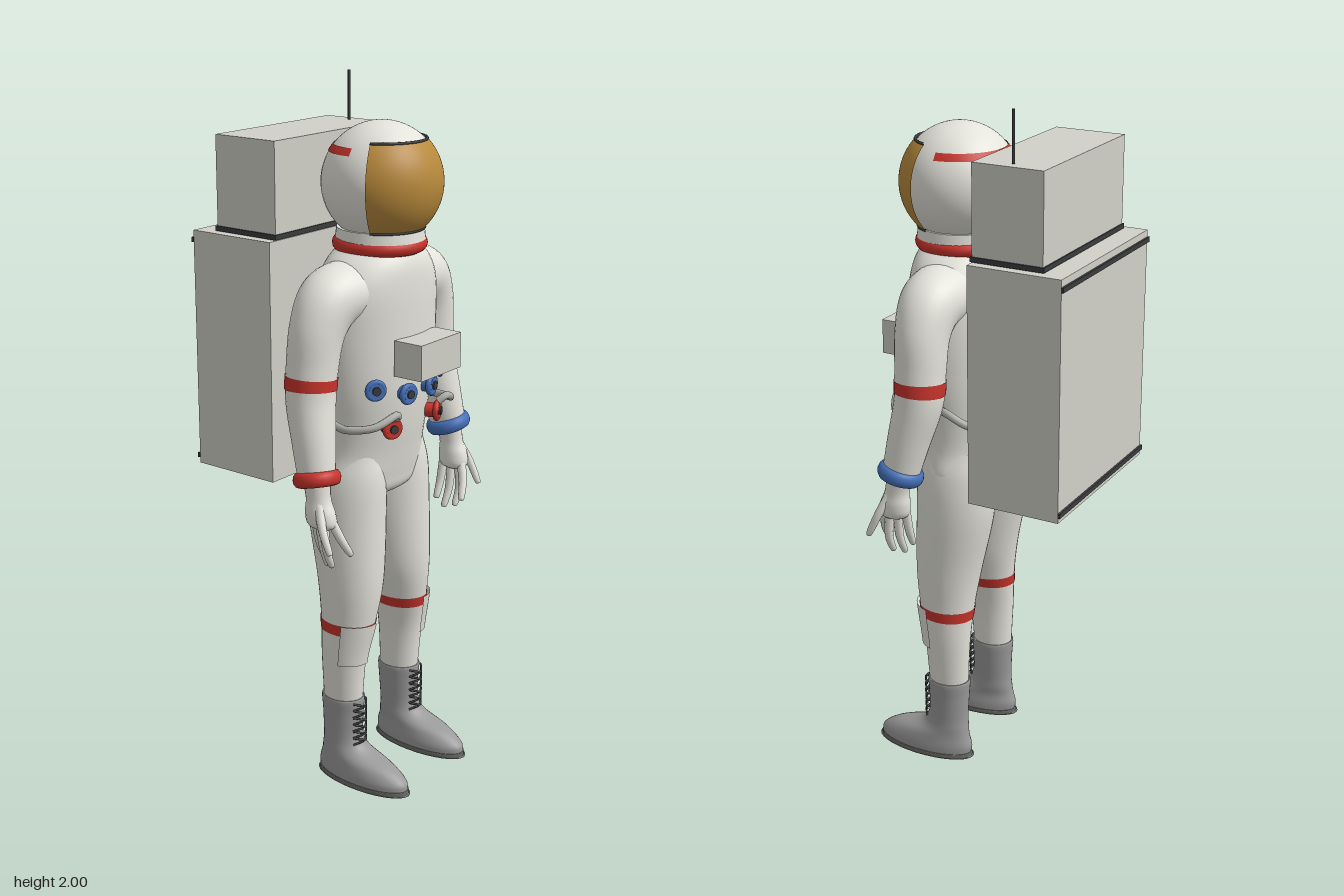
import * as THREE from 'three';

const mat = (name, color, side = THREE.FrontSide) =>
  Object.assign(new THREE.MeshStandardMaterial({ color, side }), { name });
const V = (x, y, z) => new THREE.Vector3(x, y, z);

// Skin through elliptical sections [x, y, z, rx, rz] listed from top to bottom.
// u0..u1 and a0..a1 pick a patch of the skin, grow lifts it off the surface,
// follow turns the sections square to the path instead of keeping them level.
function loft(sections, { u0 = 0, u1 = 1, a0 = 0, a1 = Math.PI * 2, grow = 0, follow = false, rows = 40, cols = 32 } = {}) {
  const path = new THREE.CatmullRomCurve3(sections.map(p => V(p[0], p[1], p[2])), false, 'catmullrom');
  const radii = new THREE.CatmullRomCurve3(sections.map(p => V(p[3], p[4], 0)), false, 'catmullrom');
  const closed = a1 - a0 > 6.28, stride = closed ? cols : cols + 1;
  const pos = [], index = [];
  for (let i = 0; i <= rows; i++) {
    const u = u0 + (u1 - u0) * i / rows;
    const c = path.getPoint(u), r = radii.getPoint(u);
    const t = follow ? path.getTangent(u) : V(0, -1, 0);
    const side = V(0, 0, 1).cross(t).normalize(), depth = t.clone().cross(side);
    for (let j = 0; j < stride; j++) {
      const a = a0 + (a1 - a0) * j / cols;
      const p = c.clone()
        .addScaledVector(side, (Math.max(r.x, 0) + grow) * Math.sin(a))
        .addScaledVector(depth, (Math.max(r.y, 0) + grow) * Math.cos(a));
      pos.push(p.x, p.y, p.z);
    }
  }
  for (let i = 0; i < rows; i++) for (let j = 0; j < cols; j++) {
    const a = i * stride + j, b = i * stride + (j + 1) % stride;
    index.push(a, a + stride, b + stride, a, b + stride, b);
  }
  const g = new THREE.BufferGeometry();
  g.setAttribute('position', new THREE.Float32BufferAttribute(pos, 3));
  g.setIndex(index);
  g.computeVertexNormals();
  return g;
}

export function createModel() {
  const root = new THREE.Group();
  root.name = 'astronaut';
  const white = mat('suitWhite', 0xe4e3db, THREE.DoubleSide);
  const packGrey = mat('packGrey', 0xd2d1c8);
  const red = mat('red', 0xc8342c, THREE.DoubleSide);
  const blue = mat('blue', 0x4470b8);
  const gold = mat('visorGold', 0xb98a3c, THREE.DoubleSide);
  const bootGrey = mat('bootGrey', 0x9a9a9a);
  const soleGrey = mat('soleGrey', 0x6c6c6a);
  const dark = mat('dark', 0x3a3c3d);
  const hoseGrey = mat('hoseGrey', 0xb0b0ac);

  const add = (name, geo, material, x = 0, y = 0, z = 0) => {
    const m = new THREE.Mesh(geo, material);
    m.name = name;
    m.position.set(x, y, z);
    root.add(m);
    return m;
  };
  const box = (name, w, h, d, material, x, y, z) => add(name, new THREE.BoxGeometry(w, h, d), material, x, y, z);
  const tube = (name, pts, r, material, seg = 24) =>
    add(name, new THREE.TubeGeometry(new THREE.CatmullRomCurve3(pts), seg, r, 10), material);
  const aim = (m, from, dir) => m.quaternion.setFromUnitVectors(from, dir.clone().normalize());

  // Torso
  add('torso', loft([
    [0, 1.58, .115, .1, .1], [0, 1.53, .11, .165, .128], [0, 1.46, .104, .205, .141], [0, 1.35, .1, .21, .145],
    [0, 1.2, .1, .2, .142], [0, 1.08, .095, .182, .134], [0, 1.0, .09, .179, .125], [0, .93, .084, .192, .118],
    [0, .885, .085, .175, .105], [0, .862, .085, .09, .07], [0, .855, .085, .001, .001]], { rows: 60, cols: 48 }), white);

  // Helmet, visor and collar
  const head = [0, 1.74, .12];
  add('helmet', new THREE.SphereGeometry(.165, 48, 32), white, ...head);
  const p0 = 22 * Math.PI / 180, span = Math.PI - 2 * p0;
  add('visor', new THREE.SphereGeometry(.169, 40, 28, p0, span, .8, 1.57), gold, ...head);
  for (const th of [.8, 2.37]) {
    const rim = new THREE.TorusGeometry(.169 * Math.sin(th), .004, 8, 40, span).rotateZ(p0).rotateX(Math.PI / 2);
    add('visorRim', rim, dark, 0, head[1] + .169 * Math.cos(th), head[2]);
  }
  add('helmetStripe', new THREE.SphereGeometry(.167, 40, 4, Math.PI, Math.PI, .9, .14), red, ...head);
  add('neckRing', new THREE.CylinderGeometry(.12, .125, .035, 40), white, 0, 1.602, .117);
  add('collar', new THREE.TorusGeometry(.109, .022, 14, 48).rotateX(Math.PI / 2), red, 0, 1.575, .115);

  // Backpack
  box('mainPack', .54, .68, .275, packGrey, 0, 1.255, -.1875);
  box('upperPack', .486, .255, .208, packGrey, 0, 1.733, -.155);
  box('packTrim', .494, .014, .216, dark, 0, 1.604, -.155);
  for (const y of [1.568, .938]) box('packBar', .544, .014, .007, dark, 0, y, -.328);
  add('antenna', new THREE.CylinderGeometry(.004, .004, .14, 8), dark, .21, 1.93, -.155);

  // Chest unit
  box('chestUnit', .186, .1, .09, packGrey, 0, 1.285, .281);

  // Round connector seated on the torso surface
  const connector = (name, x, y, material) => {
    const k = Math.sqrt(1 - (x / .195) ** 2);
    const at = V(x, y, .098 + .14 * k), n = V(x / .038, 0, k / .14).normalize();
    [[.021, .04, material, .012], [.012, .006, dark, .034]].forEach(([r, len, m, out], i) => {
      const c = add(i ? name + 'Core' : name, new THREE.CylinderGeometry(r, r, len, 24), m);
      c.position.copy(at).addScaledVector(n, out);
      aim(c, V(0, 1, 0), n);
    });
    const ring = add(name + 'Ring', new THREE.TorusGeometry(.023, .008, 10, 28), material);
    ring.position.copy(at).addScaledVector(n, .024);
    aim(ring, V(0, 0, 1), n);
  };

  for (const s of [1, -1]) {
    const flip = pts => pts.map(([x, ...rest]) => [x * s, ...rest]);
    const vecs = pts => pts.map(([x, y, z]) => V(x * s, y, z));

    connector('outerConnector', .137 * s, 1.205, blue);
    connector('innerConnector', .05 * s, 1.18, blue);
    connector('lowerConnector', .097 * s, 1.09, red);

    // Hoses to the backpack
    tube('frontHose', vecs([[.095, 1.12, .25], [.115, 1.135, .262], [.18, 1.11, .235], [.215, 1.1, .17], [.2, 1.1, .11]]), .011, hoseGrey);
    tube('rearHose', vecs([[.19, 1.14, .09], [.215, 1.14, .04], [.21, 1.12, 0], [.175, 1.09, -.055]]), .011, hoseGrey);

    // Arm with stripe and cuff
    const arm = flip([
      [.1, 1.462, .1, .085, .105], [.2, 1.445, .1, .088, .088], [.25, 1.38, .098, .08, .075], [.27, 1.28, .095, .073, .07],
      [.28, 1.19, .097, .07, .068], [.297, 1.08, .12, .06, .06], [.312, .97, .143, .048, .052]]);
    add('arm', loft(arm, { follow: true }), white);
    add('armStripe', loft(arm, { follow: true, u0: 3.3 / 6, u1: 3.7 / 6, grow: .002, rows: 4 }), red);
    const cuff = add('cuff', new THREE.TorusGeometry(.052, .014, 12, 36), s > 0 ? blue : red, .31 * s, .982, .141);
    cuff.scale.z = 1.5;
    aim(cuff, V(0, 0, 1), V(.03 * s, -.2, .05));

    // Hand
    add('palm', loft(flip([
      [.311, .99, .14, .038, .04], [.315, .93, .15, .032, .036], [.316, .89, .157, .036, .045],
      [.314, .855, .162, .032, .042], [.312, .838, .163, .001, .001]]), { rows: 20, cols: 20 }), white);
    const fingers = [
      [[.31, .87, .19], [.292, .815, .21], [.268, .77, .222]],
      [[.322, .865, .172], [.318, .785, .18], [.297, .735, .18]],
      [[.314, .865, .152], [.302, .785, .155], [.281, .73, .152]],
      [[.305, .87, .132], [.29, .8, .13], [.272, .755, .13]],
      [[.33, .92, .165], [.352, .86, .192], [.357, .8, .22]]];
    for (const [a, b, c] of fingers) {
      const tip = c.map((v, i) => v + (v - b[i]) * .12);
      add('finger', loft(flip([[...a, .014, .014], [...b, .012, .012], [...c, .009, .009], [...tip, .001, .001]]),
        { follow: true, rows: 14, cols: 12 }), white);
    }

    // Leg with stripe and shin pocket
    const leg = flip([
      [.1, 1.0, .085, .07, .1], [.102, .92, .084, .093, .115], [.105, .8, .085, .1, .117], [.113, .62, .103, .088, .1],
      [.125, .5, .105, .07, .085], [.137, .38, .098, .056, .07], [.137, .23, .095, .049, .06]]);
    add('leg', loft(leg), white);
    add('legStripe', loft(leg, { u0: 4.02 / 6, u1: 4.3 / 6, grow: .002, rows: 4 }), red);
    const pad = { u0: 4 / 6, u1: 5.05 / 6, a0: s > 0 ? -.12 : -1.25, a1: s > 0 ? 1.25 : .12, rows: 12, cols: 14 };
    add('shinPocket', loft(leg, { ...pad, grow: .01 }), white);

    // Boot and sole
    add('boot', loft(flip([
      [.137, .25, .095, .045, .055], [.137, .252, .095, .056, .066], [.137, .2, .095, .053, .063], [.139, .13, .098, .05, .063],
      [.14, .095, .112, .052, .08], [.142, .065, .152, .057, .125], [.142, .035, .171, .062, .152], [.142, .012, .175, .063, .154]])), bootGrey);
    add('sole', loft(flip([
      [.142, .014, .175, .063, .154], [.142, .012, .175, .065, .156], [.142, .001, .175, .065, .156],
      [.142, 0, .175, .06, .15], [.142, 0, .175, .001, .001]]), { rows: 16 }), soleGrey);

    // Crossed laces
    for (let i = 0; i < 6; i++) {
      const y = .115 + i * .022;
      for (const d of [1, -1]) {
        tube('lace', vecs([[.138 - .03 * d, y, .155], [.138, y + .011, .175], [.138 + .03 * d, y + .022, .155]]), .003, dark, 8);
      }
    }
  }
  return root;
}
